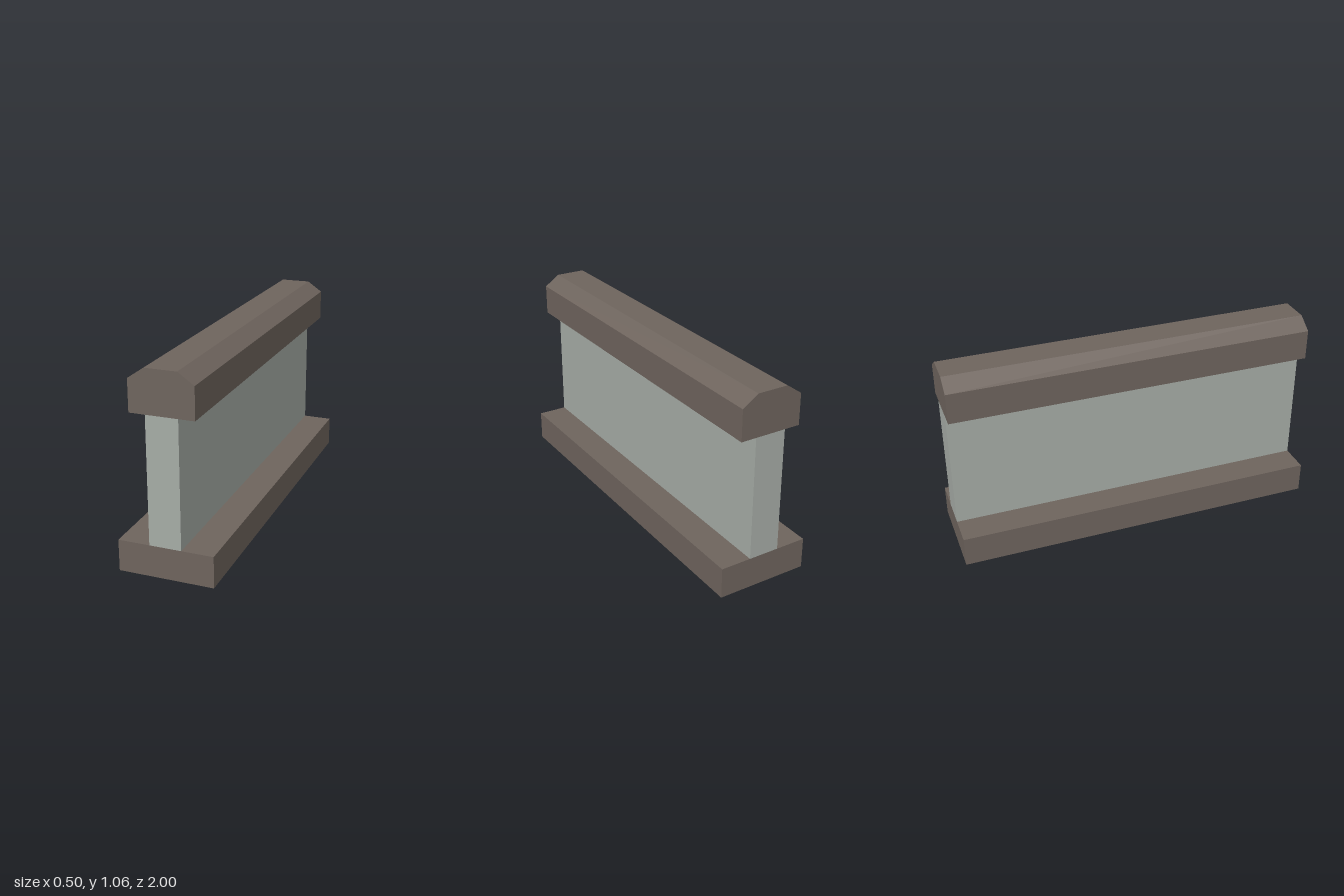
import * as THREE from 'three';

const LENGTH = 2;

const darkStone = new THREE.MeshStandardMaterial({ color: 0x6e645d });
darkStone.name = 'dark brown stone';
const paleWall = new THREE.MeshStandardMaterial({ color: 0xa6aca6 });
paleWall.name = 'pale grey wall';

// Box course running the full length, from height y0 to y1
function course(name, width, y0, y1, material) {
  const mesh = new THREE.Mesh(new THREE.BoxGeometry(width, y1 - y0, LENGTH), material);
  mesh.name = name;
  mesh.position.y = (y0 + y1) / 2;
  return mesh;
}

export function createModel() {
  const group = new THREE.Group();
  group.name = 'wallSection';

  // Footing and wall panel
  group.add(course('base', 0.5, 0, 0.167, darkStone));
  group.add(course('wallPanel', 0.167, 0.167, 0.835, paleWall));

  // Coping with chamfered upper edges
  const profile = new THREE.Shape([
    [-0.167, 0.835], [0.167, 0.835], [0.167, 1.002],
    [0.083, 1.06], [-0.083, 1.06], [-0.167, 1.002],
  ].map(([x, y]) => new THREE.Vector2(x, y)));
  const geometry = new THREE.ExtrudeGeometry(profile, { depth: LENGTH, bevelEnabled: false });
  geometry.translate(0, 0, -LENGTH / 2);
  const coping = new THREE.Mesh(geometry, darkStone);
  coping.name = 'coping';
  group.add(coping);

  return group;
}
